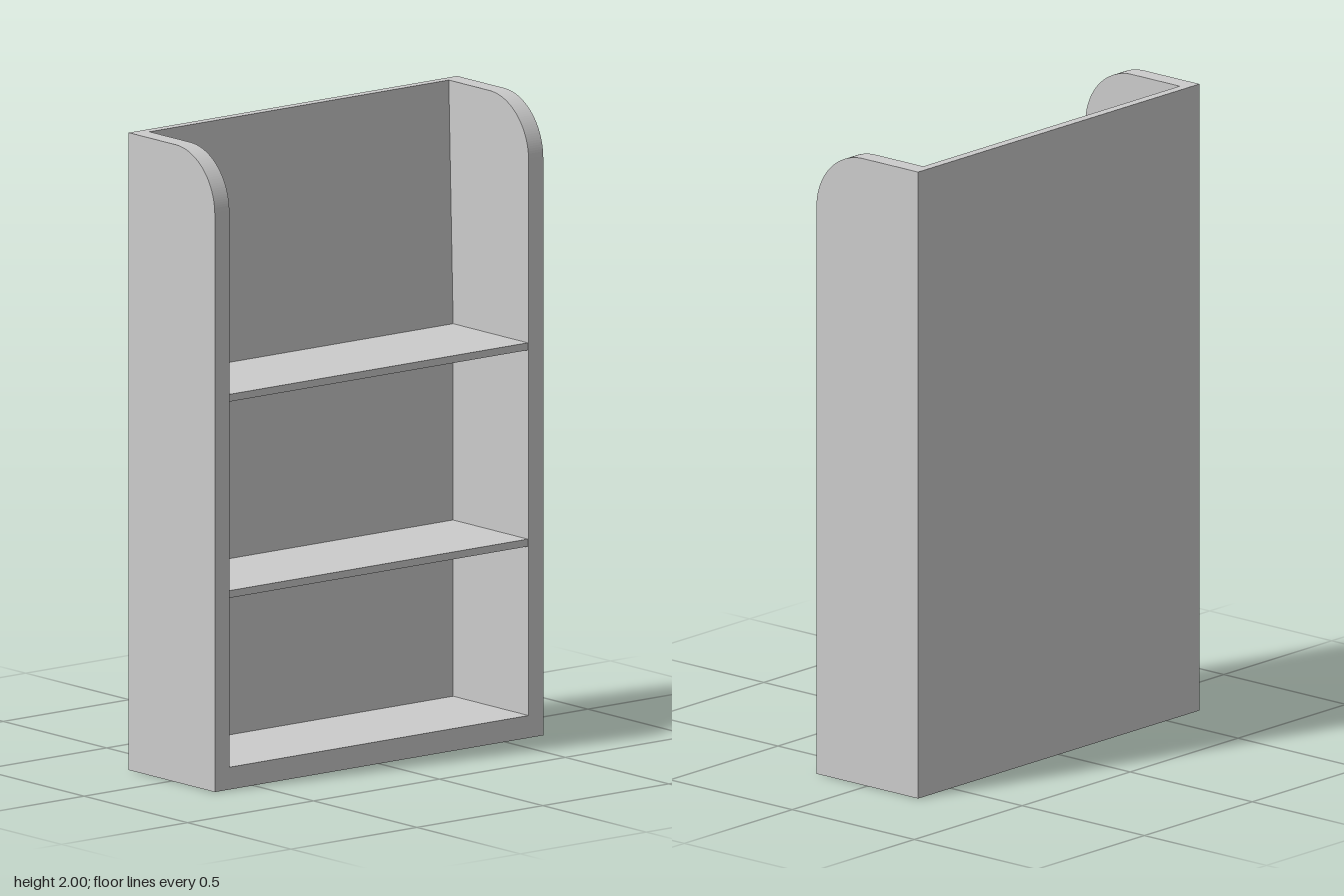
import * as THREE from 'three';

const W = 0.652, INNER = 0.594, FRONT = 0.208, BACK = -0.208, H = 2;

export function createModel() {
  const group = new THREE.Group();
  const material = new THREE.MeshStandardMaterial({ color: 0xcccccc });

  // Extrudes a side-on shape, drawn with -z to the right, across x from x0 to x1
  function acrossX(name, shape, x0, x1) {
    const geo = new THREE.ExtrudeGeometry(shape, { depth: x1 - x0, bevelEnabled: false, curveSegments: 20 });
    geo.rotateY(Math.PI / 2);
    geo.translate(x0, 0, 0);
    const mesh = new THREE.Mesh(geo, material);
    mesh.name = name;
    group.add(mesh);
  }

  // Straight-edged shape from [z, y] points
  const polygon = (points) => new THREE.Shape(points.map(([z, y]) => new THREE.Vector2(-z, y)));

  // Side panels with a rounded upper front corner
  const r = 0.19;
  const side = new THREE.Shape();
  side.moveTo(-FRONT, 0);
  side.lineTo(-BACK, 0);
  side.lineTo(-BACK, H);
  side.lineTo(-FRONT + r, H);
  side.absarc(-FRONT + r, H - r, r, Math.PI / 2, Math.PI, false);
  side.closePath();
  acrossX('leftSide', side, INNER, W);
  acrossX('rightSide', side, -W, -INNER);

  // Back panel, thinning slightly towards the top
  const back = polygon([[BACK, 0], [BACK, H], [-0.178, H], [-0.157, 1.24], [-0.157, 0]]);
  acrossX('backPanel', back, -INNER, INNER);

  // Solid base and two thin shelves
  const board = (name, y0, y1, front) =>
    acrossX(name, polygon([[-0.157, y0], [-0.157, y1], [front, y1], [front, y0]]), -INNER, INNER);
  board('base', 0, 0.07, FRONT);
  board('lowerShelf', 0.6, 0.623, 0.204);
  board('upperShelf', 1.216, 1.239, 0.204);

  return group;
}
